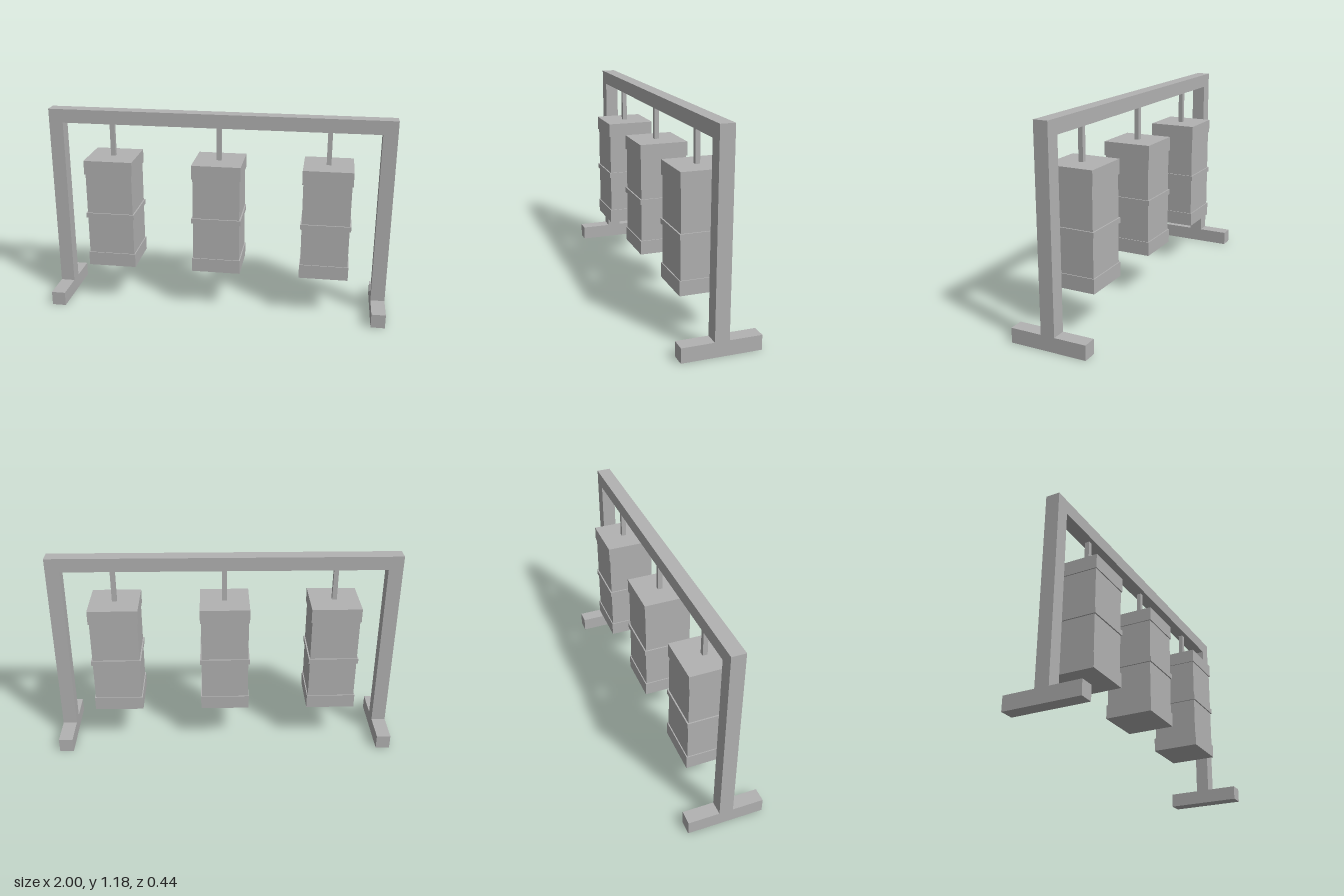
import * as THREE from 'three';

export function createModel() {
  const model = new THREE.Group();
  model.name = 'punchingBagRack';
  const grey = new THREE.MeshStandardMaterial({ color: 0xb2b2b2 });
  grey.name = 'grey';

  // Box given by its width, depth, bottom and top heights
  function box(parent, name, w, d, y0, y1, x = 0) {
    const mesh = new THREE.Mesh(new THREE.BoxGeometry(w, y1 - y0, d), grey);
    mesh.name = name;
    mesh.position.set(x, (y0 + y1) / 2, 0);
    parent.add(mesh);
  }

  // Frame: top beam, two posts and their feet
  const frame = new THREE.Group();
  frame.name = 'frame';
  model.add(frame);
  box(frame, 'topBeam', 2, 0.08, 1.1, 1.18);
  for (const [side, s] of [['left', 1], ['right', -1]]) {
    box(frame, side + 'Post', 0.082, 0.08, 0.083, 1.1, s * 0.959);
    box(frame, side + 'Foot', 0.082, 0.44, 0, 0.083, s * 0.959);
  }

  // Three square bags hanging from straps
  [['right', -0.631], ['middle', 0], ['left', 0.631]].forEach(([side, x]) => {
    const bag = new THREE.Group();
    bag.name = side + 'Bag';
    bag.position.x = x;
    model.add(bag);
    box(bag, 'strap', 0.027, 0.027, 0.905, 1.1);
    box(bag, 'topCap', 0.284, 0.284, 0.823, 0.905);
    box(bag, 'body', 0.272, 0.272, 0.332, 0.823);
    box(bag, 'belt', 0.288, 0.288, 0.554, 0.584);
    box(bag, 'bottomCap', 0.284, 0.284, 0.25, 0.332);
  });

  return model;
}
